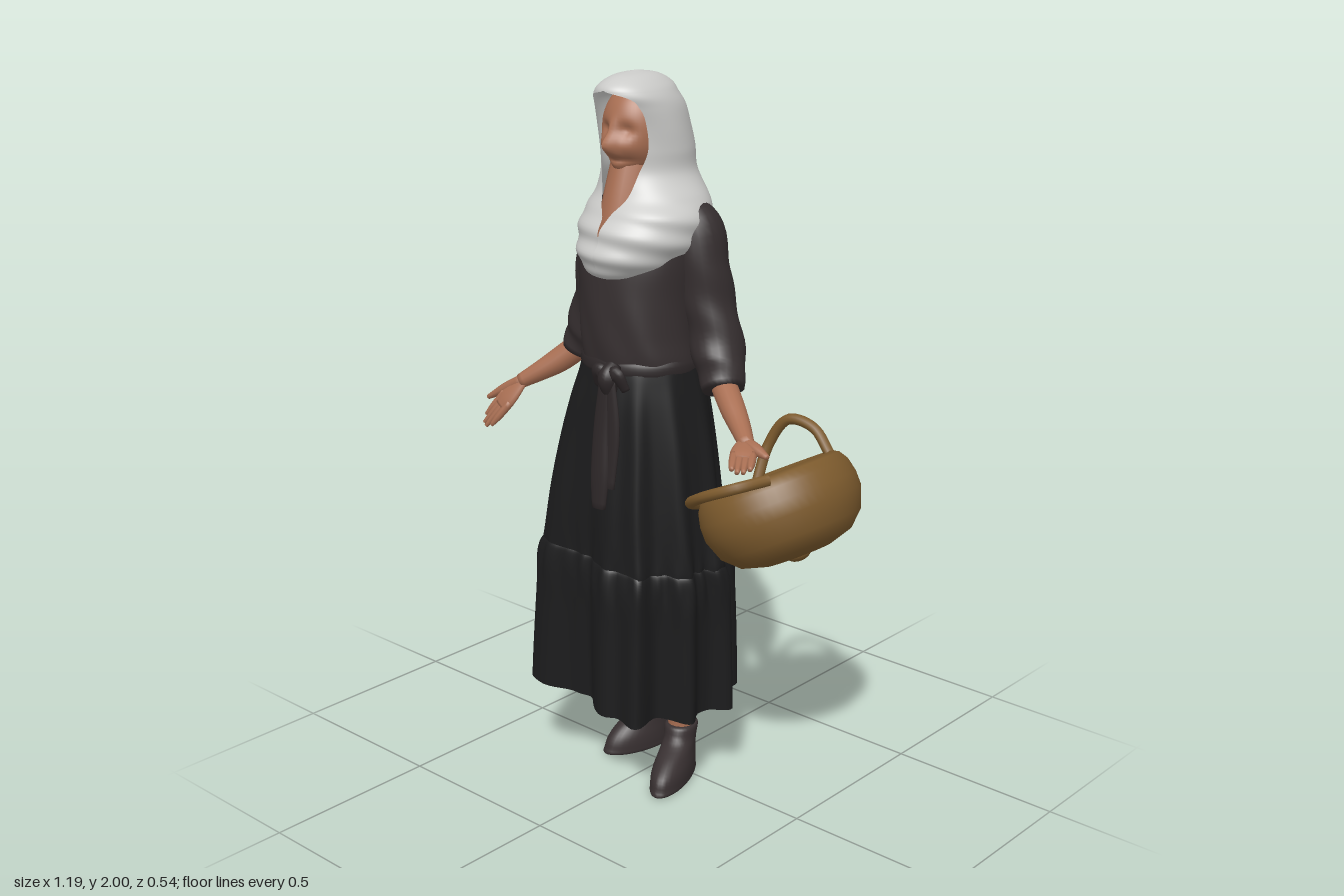
import * as THREE from 'three';

const mat = (name, color) => {
  const m = new THREE.MeshStandardMaterial({ color, side: THREE.DoubleSide });
  m.name = name;
  return m;
};
const M = {
  skin: mat('skin', 0xa96f53), scarf: mat('scarf cloth', 0xcacac8), blouse: mat('blouse cloth', 0x352e2f),
  sash: mat('sash cloth', 0x2d2728), skirt: mat('skirt cloth', 0x1c1c1d), shoe: mat('shoe leather', 0x383031),
  wicker: mat('wicker', 0x7c5a2d),
};
const V = (x, y, z) => new THREE.Vector3(x, y, z);
const bell = (a, w) => Math.exp(-(a * a) / (w * w));

function mesh(parent, name, geometry, material) {
  const m = new THREE.Mesh(geometry, material);
  m.name = name;
  parent.add(m);
  return m;
}

// Grid of points fn(row, column); columns wrap around when closed
function grid(nu, nv, closed, fn) {
  const pos = [], idx = [], cols = closed ? nv : nv + 1;
  for (let i = 0; i <= nu; i++) for (let j = 0; j < cols; j++) pos.push(...fn(i / nu, j / nv).toArray());
  for (let i = 0; i < nu; i++) for (let j = 0; j < nv; j++) {
    const k = (j + 1) % cols, a = i * cols + j, b = i * cols + k, c = a + cols, d = b + cols;
    idx.push(a, b, c, b, d, c);
  }
  const g = new THREE.BufferGeometry();
  g.setAttribute('position', new THREE.Float32BufferAttribute(pos, 3));
  g.setIndex(idx);
  g.computeVertexNormals();
  return g;
}

// Smooth sampler through a table of rows, u from 0 to 1
function sampler(rows) {
  const it = new THREE.CubicInterpolant(rows.map((_, i) => i), rows.flat(), rows[0].length);
  return u => Array.from(it.evaluate(u * (rows.length - 1)));
}

// Upright form from rows [y, centre x, centre z, radius x, radius z, front gap], lowest first
function loft(rows, nu, nv, ripple = () => 1, closed = true) {
  const at = sampler(rows);
  return grid(nu, nv, closed, (u, v) => {
    const [y, cx, cz, rx, rz, g = 0] = at(u), gap = Math.max(0, g);
    const t = gap + v * (Math.PI * 2 - 2 * gap), k = ripple(t, y);
    return V(cx + rx * k * Math.sin(t), y, cz + rz * k * Math.cos(t));
  });
}

// Limb through points [x, y, z, radius] with closed ends; flat squashes it towards its facing
function limb(pts, { flat = 1, nu = 16, nv = 14, ref = V(0, 0, 1), ripple = () => 0 } = {}) {
  const curve = new THREE.CatmullRomCurve3(pts.map(p => V(...p)));
  const at = sampler(pts.map(p => [p[3]]));
  return grid(nu + 2, nv, true, (w, v) => {
    const s = Math.round(w * (nu + 2)), u = THREE.MathUtils.clamp((s - 1) / nu, 0, 1);
    const r = s === 0 || s === nu + 2 ? 0.0005 : at(u)[0];
    const d = curve.getTangent(u), side = d.clone().cross(ref).normalize(), up = side.clone().cross(d);
    const t = v * Math.PI * 2, k = r * (1 + ripple(t, u));
    return curve.getPoint(u).addScaledVector(side, k * Math.sin(t)).addScaledVector(up, k * flat * Math.cos(t));
  });
}

// Flat palm, four fingers fanned across a width direction, and a thumb
function hand(parent, name, wrist, tip, across, thumb) {
  const g = new THREE.Group();
  g.name = name;
  parent.add(g);
  const at = (f, o = 0) => wrist.clone().lerp(tip, f).addScaledVector(across, o).toArray();
  const facing = tip.clone().sub(wrist).cross(across).normalize();
  mesh(g, 'palm', limb([[...at(-0.05), 0.02], [...at(0.2), 0.031], [...at(0.42), 0.035], [...at(0.58), 0.028]],
    { flat: 0.42, ref: facing, nu: 12 }), M.skin);
  for (let i = 0; i < 4; i++) {
    const o = i - 1.5, reach = i === 0 || i === 3 ? 0.9 : 1;
    mesh(g, 'finger', limb([[...at(0.4, o * 0.016), 0.012], [...at(0.7, o * 0.016), 0.011],
      [...at(reach, o * 0.016), 0.006]], { nu: 8, nv: 8 }), M.skin);
  }
  const m = wrist.clone().lerp(thumb, 0.5);
  mesh(g, 'thumb', limb([[...wrist.toArray(), 0.016], [...m.toArray(), 0.016], [...thumb.toArray(), 0.007]],
    { nu: 8, nv: 8 }), M.skin);
}

function addHead(root) {
  const g = new THREE.SphereGeometry(1, 56, 48), p = g.attributes.position;
  for (let i = 0; i < p.count; i++) {
    let x = p.getX(i) * 0.094, y = p.getY(i) * 0.12, z = p.getZ(i) * 0.1;
    if (z > 0) {
      if (y < 0) z += 0.02 * bell(x, 0.05) * Math.min(1, -y / 0.08);
      z += 0.034 * bell(x, 0.017) * bell(y + 0.035, 0.026);                    // nose
      z += 0.012 * bell(x, 0.012) * bell(y, 0.03);
      z -= 0.014 * bell(Math.abs(x) - 0.035, 0.02) * bell(y - 0.005, 0.016);    // eye sockets
      z += 0.01 * bell(Math.abs(x) - 0.045, 0.024) * bell(y + 0.04, 0.022);     // cheeks
      z -= 0.012 * bell(x, 0.04) * bell(y + 0.073, 0.007);                      // mouth
      z += 0.01 * bell(x, 0.028) * bell(y + 0.105, 0.018);                      // chin
    }
    p.setXYZ(i, x, y, z);
  }
  g.computeVertexNormals();
  mesh(root, 'head', g, M.skin).position.set(-0.045, 1.85, 0.04);
  mesh(root, 'neck', limb([[-0.045, 1.54, 0.1, 0.085], [-0.045, 1.65, 0.09, 0.066], [-0.045, 1.8, 0.05, 0.058]]), M.skin);

  // Hood that opens around the face and falls into a draped collar
  mesh(root, 'headscarf', loft([
    [1.465, -0.035, 0.04, 0.07, 0.13, 0], [1.485, -0.035, 0.045, 0.12, 0.168, 0], [1.53, -0.03, 0.045, 0.156, 0.186, 0],
    [1.58, -0.025, 0.04, 0.174, 0.182, 0], [1.635, -0.024, 0.028, 0.174, 0.17, 0.06], [1.68, -0.03, 0.008, 0.152, 0.15, 0.28],
    [1.74, -0.043, 0, 0.122, 0.135, 0.55], [1.8, -0.046, 0.003, 0.12, 0.132, 0.78], [1.86, -0.05, 0.015, 0.119, 0.127, 0.84],
    [1.91, -0.05, 0.03, 0.112, 0.127, 0.82], [1.942, -0.048, 0.047, 0.099, 0.124, 0.6], [1.968, -0.047, 0.05, 0.078, 0.112, -0.6],
    [1.99, -0.046, 0.05, 0.045, 0.068, -0.6], [2, -0.045, 0.05, 0.0003, 0.0003, -0.6],
  ], 96, 72, (t, y) => {
    const drape = THREE.MathUtils.smoothstep(y, 1.47, 1.53) * (1 - THREE.MathUtils.smoothstep(y, 1.62, 1.72));
    const front = 0.6 + 0.4 * Math.cos(t);
    return 1 + 0.026 * drape * front * Math.sin(95 * (y + 0.035 * (1 - Math.cos(t)) + 0.012 * Math.sin(t)))
      + 0.016 * Math.sin(5 * t + 14 * y) * bell(y - 1.8, 0.13);
  }, false), M.scarf);
}

// Skirt folds as [degrees from the front towards the left, height, width]
const FOLDS = [[-159, 0.38, 0.24], [-108, 0.32, 0.28], [-38, 0.41, 0.3], [14, 0.27, 0.17], [34, 0.4, 0.18], [65, 0.28, 0.22],
  [100, 0.27, 0.24], [137, 0.25, 0.24], [172, 0.14, 0.2]];
function pleat(t, y) {
  const depth = Math.pow(Math.max(0, (1.24 - y) / 0.99), 0.75);
  let k = -0.19;
  for (const [deg, height, width] of FOLDS) {
    const a = t - THREE.MathUtils.degToRad(deg);
    k += height * bell(Math.atan2(Math.sin(a), Math.cos(a)), width);
  }
  return 1 + depth * (k + 0.015 * Math.sin(23 * t)) + 0.022 * bell(y - 0.64, 0.06) * Math.sin(32 * t);
}

function addClothes(root) {
  mesh(root, 'blouseBody', loft([
    [1.19, -0.03, 0.045, 0.165, 0.142], [1.25, -0.03, 0.049, 0.168, 0.15], [1.32, -0.035, 0.049, 0.165, 0.155],
    [1.42, -0.04, 0.043, 0.168, 0.157], [1.52, -0.045, 0.035, 0.18, 0.15], [1.6, -0.045, 0.02, 0.178, 0.13],
    [1.655, -0.045, -0.005, 0.148, 0.1], [1.695, -0.045, -0.01, 0.08, 0.07], [1.705, -0.045, -0.01, 0.002, 0.002],
  ], 48, 60, (t, y) => 1 + 0.014 * Math.sin(9 * t + 20 * y) * bell(y - 1.3, 0.12)), M.blouse);

  const creases = { nu: 32, nv: 24, ripple: (t, u) => 0.06 * u * Math.sin(26 * u + 2 * t) };
  mesh(root, 'rightSleeve', limb([[-0.14, 1.638, -0.015, 0.046], [-0.19, 1.592, -0.015, 0.073], [-0.228, 1.48, -0.018, 0.077],
    [-0.258, 1.36, -0.03, 0.072], [-0.305, 1.25, -0.045, 0.074], [-0.335, 1.18, -0.038, 0.06]], creases), M.blouse);
  mesh(root, 'leftSleeve', limb([[0.055, 1.643, -0.015, 0.046], [0.103, 1.597, -0.015, 0.073], [0.126, 1.48, -0.018, 0.076],
    [0.155, 1.36, -0.025, 0.072], [0.198, 1.25, -0.01, 0.07], [0.237, 1.185, 0.02, 0.053]], creases), M.blouse);

  // Tiered skirt whose folds deepen towards the hem, hanging a little lower on the left
  mesh(root, 'skirtUpperTier', loft([[0.66, -0.06, 0.03, 0.268, 0.208], [0.7, -0.06, 0.03, 0.268, 0.208],
    [0.85, -0.055, 0.035, 0.25, 0.2], [1, -0.046, 0.04, 0.227, 0.185], [1.12, -0.037, 0.044, 0.2, 0.172],
    [1.2, -0.03, 0.047, 0.178, 0.158], [1.245, -0.03, 0.048, 0.169, 0.15]], 32, 144, pleat), M.skirt);
  const lower = loft([[0.245, -0.073, 0.006, 0.284, 0.243], [0.35, -0.071, 0.008, 0.284, 0.241],
    [0.5, -0.067, 0.013, 0.282, 0.236], [0.61, -0.062, 0.02, 0.28, 0.23], [0.67, -0.06, 0.028, 0.272, 0.215],
    [0.69, -0.06, 0.03, 0.255, 0.2]], 32, 144, pleat);
  lower.applyMatrix4(new THREE.Matrix4().makeShear(-0.06, 0, 0, 0, 0, 0));
  mesh(root, 'skirtLowerTier', lower, M.skirt);

  // Sash with a knot, loops and hanging ends
  mesh(root, 'sash', loft([[1.215, -0.03, 0.047, 0.17, 0.152], [1.225, -0.03, 0.048, 0.173, 0.156],
    [1.245, -0.03, 0.048, 0.172, 0.154], [1.26, -0.03, 0.048, 0.164, 0.146]], 8, 60), M.sash);
  mesh(root, 'sashKnot', limb([[0.012, 1.25, 0.2, 0.02], [0.012, 1.22, 0.225, 0.028], [0.012, 1.18, 0.22, 0.02]]), M.sash);
  for (const s of [-1, 1])
    mesh(root, 'sashLoop', limb([[0.012, 1.22, 0.22, 0.012], [0.012 + s * 0.03, 1.235, 0.228, 0.022],
      [0.012 + s * 0.05, 1.19, 0.21, 0.014]], { flat: 0.6 }), M.sash);
  mesh(root, 'sashLongEnd', limb([[0.005, 1.22, 0.228, 0.02], [-0.003, 1.08, 0.236, 0.028], [0, 0.95, 0.248, 0.032],
    [0.002, 0.86, 0.256, 0.024]], { flat: 0.4 }), M.sash);
  mesh(root, 'sashShortEnd', limb([[0.02, 1.22, 0.228, 0.018], [0.034, 1.08, 0.232, 0.024], [0.03, 0.92, 0.244, 0.018]],
    { flat: 0.4 }), M.sash);
}

function addArms(root) {
  mesh(root, 'rightForearm', limb([[-0.31, 1.22, -0.045, 0.038], [-0.385, 1.15, 0.005, 0.036], [-0.43, 1.115, 0.04, 0.029],
    [-0.48, 1.08, 0.075, 0.021]]), M.skin);
  hand(root, 'rightHand', V(-0.475, 1.085, 0.072), V(-0.563, 0.948, 0.143), V(0.75, -0.45, 0.3), V(-0.593, 1.015, 0.1));
  mesh(root, 'leftForearm', limb([[0.21, 1.21, 0, 0.036], [0.3, 1.16, 0.06, 0.034], [0.36, 1.13, 0.1, 0.028],
    [0.425, 1.105, 0.15, 0.02]]), M.skin);
  hand(root, 'leftHand', V(0.415, 1.11, 0.143), V(0.485, 1.072, 0.25), V(0.75, 0, -0.6), V(0.503, 1.095, 0.165));
}

function addFoot(root, name, x, z, turn, length) {
  const g = new THREE.Group();
  g.name = name;
  g.position.set(x, 0, z);
  g.rotation.y = turn;
  root.add(g);
  const c = length - 0.06;
  mesh(g, 'shoe', loft([[0, 0, c, 0.002, 0.002], [0.001, 0, c, 0.046, length - 0.004], [0.02, 0, c, 0.052, length],
    [0.05, 0, c - 0.006, 0.051, length - 0.008], [0.08, 0, c * 0.55, 0.046, 0.032 + length * 0.52],
    [0.11, 0, 0.008, 0.044, 0.062], [0.145, 0, -0.003, 0.046, 0.054], [0.15, 0, -0.003, 0.03, 0.035]], 28, 32), M.shoe);
  mesh(g, 'leg', limb([[0, 0.12, 0, 0.038], [0, 0.18, 0, 0.04], [0, 0.26, 0, 0.045]]), M.skin);
  mesh(g, 'stocking', limb([[0, 0.235, 0, 0.05], [0, 0.4, 0, 0.058], [0, 0.6, 0, 0.06]]), M.shoe);
  return g;
}

// Tied ankle strap with two loops
function addAnkleTie(foot) {
  const strap = mesh(foot, 'ankleStrap', new THREE.TorusGeometry(0.046, 0.008, 8, 28), M.shoe);
  strap.rotation.x = Math.PI / 2;
  strap.position.set(0, 0.135, -0.002);
  for (const s of [-1, 1])
    mesh(foot, 'tieLoop', limb([[-0.02, 0.125, 0.045, 0.006], [-0.02 + s * 0.025, 0.14, 0.055, 0.01],
      [-0.02 + s * 0.04, 0.118, 0.05, 0.004]], { nu: 8, nv: 8 }), M.shoe);
}

function addBasket(root) {
  const g = new THREE.Group();
  g.name = 'basketBody';
  g.position.set(0.35, 0.95, -0.042);
  g.rotation.z = THREE.MathUtils.degToRad(28);
  g.scale.z = 1.1;
  root.add(g);
  // Plump body with a shallow sunken top
  const profile = [[0.001, -0.222], [0.09, -0.217], [0.15, -0.198], [0.19, -0.158], [0.211, -0.1], [0.211, -0.06], [0.203, -0.022],
    [0.188, 0.003], [0.17, 0.012], [0.158, 0.002], [0.12, -0.008], [0.001, -0.012]];
  mesh(g, 'body', new THREE.LatheGeometry(profile.map(p => new THREE.Vector2(...p)), 56), M.wicker);
  const knob = mesh(g, 'baseKnob', new THREE.SphereGeometry(0.035, 18, 12), M.wicker);
  knob.position.y = -0.21;
  knob.scale.y = 0.7;

  const handle = (name, pts) => mesh(root, name,
    new THREE.TubeGeometry(new THREE.CatmullRomCurve3(pts.map(p => V(...p))), 36, 0.015, 10), M.wicker);
  handle('frontHandle', [[0.215, 0.87, 0.05], [0.25, 0.91, 0.165], [0.35, 0.97, 0.232], [0.44, 1.01, 0.215], [0.48, 1.02, 0.13]]);
  handle('backHandle', [[0.22, 0.86, -0.14], [0.225, 0.98, -0.19], [0.28, 1.06, -0.205], [0.36, 1.05, -0.215], [0.42, 0.99, -0.21]]);
}

export function createModel() {
  const root = new THREE.Group();
  root.name = 'womanWithBasket';
  addHead(root);
  addClothes(root);
  addArms(root);
  addAnkleTie(addFoot(root, 'rightFoot', -0.105, -0.075, -0.25, 0.112));
  addFoot(root, 'leftFoot', 0.07, -0.005, 0.38, 0.128);
  addBasket(root);
  return root;
}
